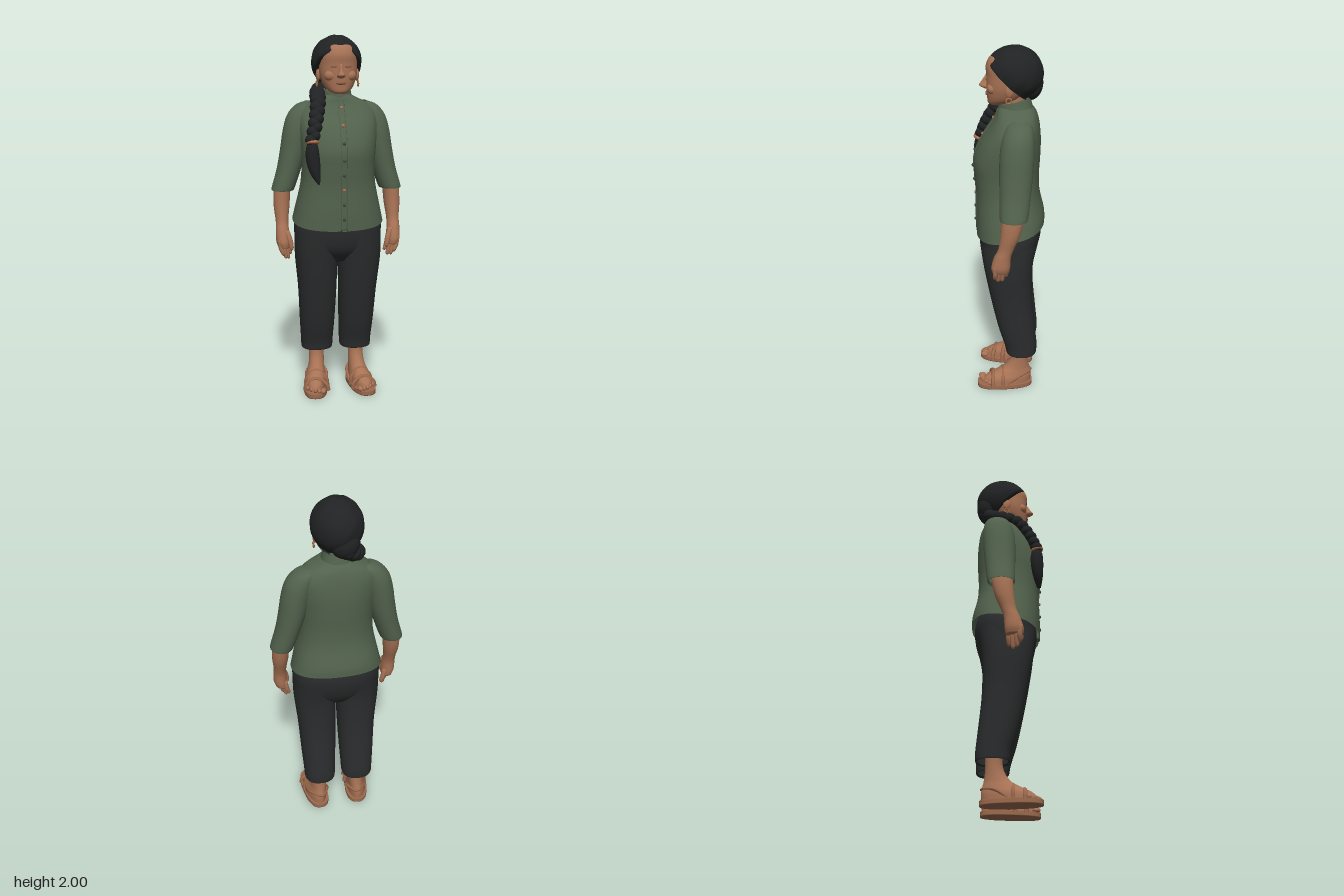
import * as THREE from 'three';

const material = (name, color, side = THREE.FrontSide) => {
  const m = new THREE.MeshStandardMaterial({ color, side });
  m.name = name;
  return m;
};

// Smoothly interpolated cross-section: [y, centreX, halfWidth, frontZ, backZ]
function sampler(sections) {
  const spline = (a, b, c) => new THREE.CatmullRomCurve3(
    sections.map(s => new THREE.Vector3(s[a], s[b], c === undefined ? 0 : s[c])), false, 'catmullrom', 0.5);
  const p = spline(0, 1), q = spline(2, 3, 4);
  return t => {
    const u = p.getPoint(t), v = q.getPoint(t);
    return [u.x, u.y, Math.max(v.x, 0.001), v.y, v.z];
  };
}

// Closed rings stacked from bottom to top; tilt(t) lowers the front of a ring
function loft(sections, { n = 2, radial = 32, steps = 6, caps = true, tilt = () => 0 } = {}) {
  const list = sections[0][0] > sections.at(-1)[0] ? [...sections].reverse() : sections;
  const at = sampler(list), rows = (list.length - 1) * steps;
  const pos = [], idx = [];
  const power = v => Math.sign(v) * Math.abs(v) ** (2 / n);
  for (let i = 0; i <= rows; i++) {
    const [y, cx, rx, zf, zb] = at(i / rows);
    for (let j = 0; j < radial; j++) {
      const a = j / radial * Math.PI * 2;
      const z = (zf + zb) / 2 + power(Math.sin(a)) * (zf - zb) / 2;
      pos.push(cx + power(Math.cos(a)) * rx, y - tilt(i / rows) * z, z);
    }
  }
  for (let i = 0; i < rows; i++) for (let j = 0; j < radial; j++) {
    const k = (j + 1) % radial, a = i * radial + j, b = i * radial + k;
    idx.push(a, a + radial, b, b, a + radial, b + radial);
  }
  if (caps) for (const end of [0, 1]) {
    const [y, cx, , zf, zb] = at(end), c = pos.length / 3, base = end * rows * radial;
    pos.push(cx, y, (zf + zb) / 2);
    for (let j = 0; j < radial; j++) {
      const k = (j + 1) % radial;
      idx.push(c, base + (end ? k : j), base + (end ? j : k));
    }
  }
  const g = new THREE.BufferGeometry();
  g.setAttribute('position', new THREE.Float32BufferAttribute(pos, 3));
  g.setIndex(idx);
  g.computeVertexNormals();
  return g;
}

export function createModel() {
  const root = new THREE.Group();
  root.name = 'standingWoman';
  const skin = material('skin', 0xa87355);
  const shade = material('darker skin', 0x8f5c44);
  const green = material('blouse green', 0x52624d, THREE.DoubleSide);
  const black = material('trouser black', 0x2b2c2d, THREE.DoubleSide);
  const hairMat = material('hair black', 0x212223);
  const leather = material('sandal leather', 0x9c694d);
  const copper = material('copper', 0xb0714a);
  const dark = material('button grey', 0x3f4a40);

  const add = (name, geometry, mat, parent = root) => {
    const m = new THREE.Mesh(geometry, mat);
    m.name = name;
    parent.add(m);
    return m;
  };
  const ball = (name, mat, p, s, parent = root) => {
    const m = add(name, new THREE.SphereGeometry(1, 20, 14), mat, parent);
    m.position.set(...p);
    m.scale.set(...s);
    return m;
  };
  const tube = (pts, r) => new THREE.TubeGeometry(
    new THREE.CatmullRomCurve3(pts.map(p => new THREE.Vector3(...p))), 24, r, 8);

  // Blouse body, collar and front placket
  const body = [
    [0.995, 0, 0.252, 0.178, -0.197], [1.07, 0, 0.235, 0.18, -0.194], [1.2, 0, 0.207, 0.178, -0.168],
    [1.3, 0, 0.2, 0.185, -0.163], [1.4, 0, 0.206, 0.188, -0.168], [1.5, 0, 0.215, 0.153, -0.17],
    [1.58, 0, 0.212, 0.102, -0.163], [1.635, 0, 0.17, 0.07, -0.15], [1.665, 0, 0.115, 0.06, -0.135],
    [1.685, 0, 0.075, 0.052, -0.118]];
  const hemTilt = t => 0.18 * Math.max(0, 1 - t * 5);
  add('blouseBody', loft(body, { n: 2.35, radial: 48, caps: false, tilt: hemTilt }), green);
  add('blousePlacket', loft(body.slice(0, 9).map(([y, , , zf]) => [y, 0.008, 0.018, zf + 0.004, zf - 0.02]),
    { n: 4, radial: 16, tilt: hemTilt }), green);
  add('collar', loft([[1.65, 0, 0.088, 0.062, -0.125], [1.685, 0, 0.079, 0.058, -0.117],
    [1.712, 0, 0.073, 0.053, -0.11], [1.71, 0, 0.066, 0.046, -0.103]],
  { caps: false, tilt: () => 0.25 }), green);

  // Buttons follow the front of the blouse
  const front = sampler(body);
  [1.62, 1.53, 1.44, 1.35, 1.27, 1.19, 1.11, 1.03].forEach((y, i) => {
    let s = front(0);
    for (let t = 0; t < 1 && s[0] < y; t += 0.005) s = front(t);
    ball('button', i < 2 || i === 5 ? copper : dark, [0.008, y, s[3] + 0.006], [0.009, 0.009, 0.006]);
  });

  // Trousers
  add('trouserSeat', loft([[1.07, 0, 0.215, 0.15, -0.165], [1.0, 0, 0.24, 0.163, -0.18],
    [0.92, 0, 0.243, 0.158, -0.17], [0.84, 0, 0.225, 0.135, -0.14], [0.77, 0, 0.11, 0.08, -0.09]],
  { n: 2.3, radial: 40 }), black);

  for (const s of [1, -1]) {
    const side = s > 0 ? 'left' : 'right';
    const limb = (name, secs, mat, opt, parent) =>
      add(side + name, loft(secs.map(([y, x, ...r]) => [y, x * s, ...r]), opt), mat, parent);

    // Trouser leg with a turned-in hem
    limb('TrouserLeg', [[0.95, 0.122, 0.118, 0.155, -0.165], [0.8, 0.122, 0.119, 0.135, -0.137],
      [0.6, 0.115, 0.108, 0.1, -0.135], [0.4, 0.113, 0.099, 0.057, -0.153],
      [0.28, 0.112, 0.092, 0.022, -0.165], [0.228, 0.112, 0.089, 0.012, -0.163],
      [0.235, 0.112, 0.08, 0.004, -0.155]], black, { n: 2.3, caps: false });

    // Sleeve with elbow-length opening
    limb('Sleeve', [[1.648, 0.15, 0.02, -0.03, -0.09], [1.625, 0.165, 0.062, 0.005, -0.122],
      [1.57, 0.195, 0.077, 0.028, -0.135], [1.49, 0.218, 0.078, 0.04, -0.137],
      [1.39, 0.238, 0.074, 0.042, -0.132], [1.28, 0.266, 0.067, 0.04, -0.122],
      [1.17, 0.301, 0.063, 0.038, -0.11], [1.178, 0.301, 0.055, 0.03, -0.102]], green, { caps: false });

    // Forearm and palm
    limb('Forearm', [[1.28, 0.285, 0.045, 0.02, -0.095], [1.17, 0.305, 0.046, 0.028, -0.088],
      [1.08, 0.311, 0.044, 0.034, -0.07], [1.0, 0.312, 0.035, 0.045, -0.038],
      [0.95, 0.312, 0.036, 0.065, -0.022], [0.89, 0.31, 0.038, 0.083, -0.018],
      [0.855, 0.305, 0.032, 0.08, -0.012]], skin, { radial: 24 });

    // Fingers and thumb
    [[0.33, 0.06, 0.81], [0.315, 0.045, 0.79], [0.3, 0.024, 0.785], [0.287, 0.004, 0.805]].forEach(([x, z, tip]) =>
      limb('Finger', [[0.9, x, 0.012, z + 0.014, z - 0.014], [0.85, x - 0.007, 0.014, z + 0.015, z - 0.015],
        [tip + 0.012, x - 0.018, 0.011, z + 0.015, z - 0.009], [tip, x - 0.02, 0.004, z + 0.007, z - 0.002]],
      skin, { radial: 10, steps: 3 }));
    limb('Thumb', [[0.95, 0.292, 0.016, 0.065, 0.03], [0.9, 0.275, 0.015, 0.08, 0.048],
      [0.855, 0.267, 0.012, 0.083, 0.058], [0.84, 0.267, 0.004, 0.074, 0.066]], skin, { radial: 10, steps: 3 });

    // Foot and sandal, turned slightly outward about the ankle
    const foot = new THREE.Group();
    foot.name = side + 'Foot';
    foot.position.set(0.115 * s, 0, -0.07);
    foot.rotation.y = 0.13 * s;
    root.add(foot);
    limb('Ankle', [[0.32, 0, 0.05, 0.05, -0.05], [0.2, 0, 0.043, 0.048, -0.043], [0.13, 0, 0.045, 0.085, -0.05],
      [0.095, 0.003, 0.05, 0.14, -0.058], [0.06, 0.006, 0.058, 0.205, -0.062],
      [0.02, 0.006, 0.06, 0.225, -0.06]], skin, { radial: 28 }, foot);
    const sole = [0.005 * s, 0.068, 0.252, -0.07];
    add('sandalSole', loft([[0, ...sole], [0.01, ...sole], [0.02, ...sole], [0.026, ...sole]],
      { n: 2.6, steps: 2 }), leather, foot);
    for (let i = 0; i < 5; i++)
      ball('toe', skin, [s * (-0.038 + i * 0.022), 0.036, 0.222 - i * i * 0.003],
        [i ? 0.011 : 0.015, 0.014, 0.022], foot);
    for (const [z, h, w] of [[0.165, 0.082, 0.064], [0.105, 0.108, 0.06]])
      add('sandalStrap', tube([[-w, 0.015, z], [-w * 0.88, h * 0.62, z], [0, h, z - 0.008],
        [w * 0.88, h * 0.62, z], [w + 0.004, 0.015, z]], 0.012), leather, foot);
    add('heelStrap', tube([[-0.058, 0.03, 0.08], [-0.054, 0.075, 0.01], [0, 0.088, -0.06],
      [0.054, 0.075, 0.01], [0.058, 0.03, 0.08]], 0.009), leather, foot);

    // Ear, earring and facial features that come in pairs
    ball(side + 'Ear', skin, [0.106 * s, 1.79, -0.005], [0.012, 0.034, 0.022]);
    const ring = add(side + 'Earring', new THREE.TorusGeometry(0.014, 0.004, 8, 16), copper);
    ring.position.set(0.113 * s, 1.743, -0.003);
    ring.rotation.y = Math.PI / 2;
    ball(side + 'Eye', shade, [0.038 * s, 1.838, 0.114], [0.018, 0.006, 0.004]);
    ball(side + 'Cheek', skin, [0.05 * s, 1.79, 0.085], [0.035, 0.03, 0.027]);
  }

  // Neck, head and face
  add('neck', loft([[1.6, 0, 0.07, 0.04, -0.1], [1.69, 0, 0.061, 0.044, -0.094],
    [1.78, 0, 0.058, 0.05, -0.09]]), skin);
  add('head', loft([[1.693, 0, 0.025, 0.095, 0.045], [1.705, 0, 0.052, 0.11, 0.0], [1.735, 0, 0.08, 0.114, -0.06],
    [1.79, 0, 0.1, 0.117, -0.1], [1.85, 0, 0.104, 0.117, -0.12], [1.9, 0, 0.1, 0.119, -0.12],
    [1.945, 0, 0.08, 0.096, -0.1], [1.97, 0, 0.04, 0.04, -0.06]], { n: 2.25 }), skin);
  add('nose', loft([[1.85, 0, 0.008, 0.12, 0.09], [1.815, 0, 0.013, 0.142, 0.09],
    [1.793, 0, 0.022, 0.155, 0.09], [1.778, 0, 0.017, 0.132, 0.09]], { radial: 16 }), skin);
  ball('lips', shade, [0, 1.752, 0.115], [0.028, 0.009, 0.008]);

  // Hair cap, cut back along a slanted hairline so the face shows
  const hair = new THREE.SphereGeometry(1, 64, 48);
  const p = hair.attributes.position;
  for (let i = 0; i < p.count; i++) {
    const x = p.getX(i), y = p.getY(i), z = p.getZ(i);
    const wave = 1 + 0.014 * Math.sin(9 * x + 6 * y) * Math.sin(7 * z + 3 * x);
    const hy = 1.858 + y * 0.142 * wave;
    const line = hy > 1.925 ? 0.13 : 0.112 - (1.925 - hy) * 1.05;
    p.setXYZ(i, -0.003 + x * 0.136 * wave, hy, Math.min(-0.027 + z * 0.152 * wave, line));
  }
  hair.computeVertexNormals();
  add('hairCap', hair, hairMat);
  ball('hairKnot', hairMat, [-0.025, 1.80, -0.108], [0.078, 0.09, 0.07]);

  // Braid from the nape over the right shoulder
  const path = new THREE.CatmullRomCurve3([[-0.03, 1.755, -0.125], [-0.08, 1.715, -0.085], [-0.108, 1.69, -0.02],
    [-0.115, 1.655, 0.06], [-0.135, 1.56, 0.125], [-0.16, 1.46, 0.165]].map(q => new THREE.Vector3(...q)));
  const braid = new THREE.Group();
  braid.name = 'braid';
  root.add(braid);
  for (let i = 0; i <= 20; i++) {
    const t = i / 20, c = path.getPointAt(t), r = 0.041 - 0.01 * t, off = (i % 2 ? 1 : -1) * 0.008;
    const lock = ball('braidLock', hairMat, [c.x + off, c.y, c.z], [r, r * 0.95, r], braid);
    lock.rotation.z = off * 60;
  }
  add('braidTail', loft([[1.45, -0.16, 0.024, 0.187, 0.14], [1.41, -0.161, 0.034, 0.198, 0.13],
    [1.35, -0.157, 0.037, 0.2, 0.13], [1.28, -0.145, 0.027, 0.196, 0.145],
    [1.225, -0.128, 0.006, 0.186, 0.165]], { radial: 20 }), hairMat, braid);
  const tie = add('hairTie', new THREE.TorusGeometry(0.027, 0.009, 10, 24), copper, braid);
  tie.position.set(-0.16, 1.448, 0.166);
  tie.rotation.x = Math.PI / 2 - 0.25;

  return root;
}
